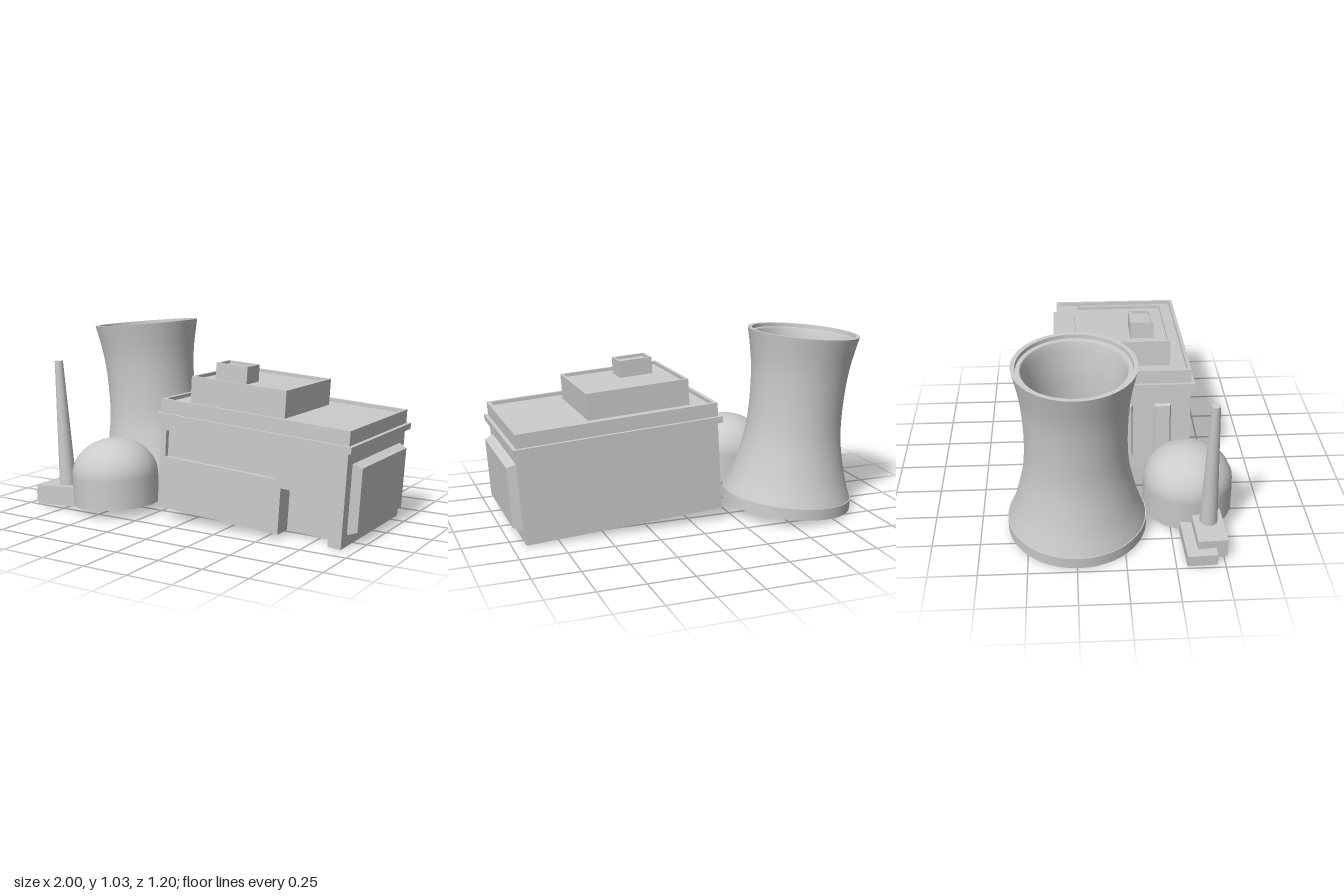
import * as THREE from 'three';

const grey = new THREE.MeshStandardMaterial({ color: 0xcccccc, side: THREE.DoubleSide });
const flat = new THREE.MeshStandardMaterial({ color: 0xcccccc, side: THREE.DoubleSide, flatShading: true });

function add(parent, name, geometry, material = flat) {
  const mesh = new THREE.Mesh(geometry, material);
  mesh.name = name;
  parent.add(mesh);
  return mesh;
}

function group(parent, name, x, y, z, tilt) {
  const g = new THREE.Group();
  g.name = name;
  g.position.set(x, y, z);
  g.rotation.z = tilt;
  parent.add(g);
  return g;
}

// Box given by its limits; open lists the faces left out (0..5 = +x -x +y -y +z -z)
function box(x0, x1, y0, y1, z0, z1, open = []) {
  const g = new THREE.BoxGeometry(x1 - x0, y1 - y0, z1 - z0);
  g.translate((x0 + x1) / 2, (y0 + y1) / 2, (z0 + z1) / 2);
  g.setIndex(Array.from(g.index.array).filter((_, i) => !open.includes(Math.floor(i / 6))));
  return g;
}

function rect(path, x0, x1, y0, y1) {
  path.moveTo(x0, y0);
  path.lineTo(x1, y0);
  path.lineTo(x1, y1);
  path.lineTo(x0, y1);
  path.closePath();
  return path;
}

// Flat-roofed block whose rim stands above a sunken roof
function roofBlock(parent, name, x0, x1, y0, y1, z0, z1, rim, depth) {
  const shape = rect(new THREE.Shape(), x0, x1, -z1, -z0);
  shape.holes.push(rect(new THREE.Path(), x0 + rim, x1 - rim, -z1 + rim, -z0 - rim));
  const walls = new THREE.ExtrudeGeometry(shape, { depth: y1 - y0, bevelEnabled: false });
  walls.rotateX(-Math.PI / 2).translate(0, y0, 0);
  add(parent, name + 'Walls', walls);
  add(parent, name + 'Roof', box(x0 + rim, x1 - rim, y0, y1 - depth, z0 + rim, z1 - rim));
}

// Raised panel on a side wall, its outer face drawn in by a bevel
function sidePanel(parent, name, side, wallX, out, y0, y1, z0, z1, bevel) {
  const g = new THREE.BoxGeometry(out, y1 - y0, z1 - z0);
  const p = g.attributes.position;
  for (let i = 0; i < p.count; i++) {
    if (p.getX(i) * side > 0) {
      p.setY(i, p.getY(i) - Math.sign(p.getY(i)) * bevel);
      p.setZ(i, p.getZ(i) - Math.sign(p.getZ(i)) * bevel);
    }
  }
  g.translate(side * (wallX + out / 2), (y0 + y1) / 2, (z0 + z1) / 2);
  add(parent, name, g);
}

function buildHall(root) {
  const hall = group(root, 'turbineHall', 0.378, 0.04, 0.033, -0.063);
  const W = 0.549, D = 0.369, H = 0.492;

  // Walls, open underneath, with openings in the front
  add(hall, 'sideAndBackWalls', box(-W, W, 0, H, -D, D, [2, 3, 4]));
  const front = new THREE.Shape();
  [[-W, 0], [0.195, 0], [0.195, 0.246], [0.477, 0.246], [0.477, 0], [W, 0], [W, H], [-W, H]]
    .forEach(([x, y], i) => (i ? front.lineTo(x, y) : front.moveTo(x, y)));
  front.holes.push(rect(new THREE.Path(), -0.513, 0.16, 0.287, 0.432));
  add(hall, 'frontWall', new THREE.ShapeGeometry(front).translate(0, 0, D));
  add(hall, 'windowRecess', box(-0.513, 0.16, 0.287, 0.432, D - 0.025, D, [4]));
  add(hall, 'doorRecess', box(0.195, 0.477, 0, 0.246, D - 0.105, D, [3, 4]));

  // Side panels
  sidePanel(hall, 'rightPanel', 1, W, 0.048, 0.06, 0.425, -0.305, 0.307, 0.018);
  for (const z of [-0.213, 0, 0.213]) {
    sidePanel(hall, 'leftPanel', -1, W, 0.02, 0.085, 0.4, z - 0.048, z + 0.048, 0.008);
  }

  // Ledge and stacked roofs
  add(hall, 'ledge', box(-0.572, 0.572, H, 0.525, -0.39, 0.39));
  roofBlock(hall, 'parapet', -0.552, 0.552, 0.525, 0.6, -0.37, 0.37, 0.02, 0.02);
  roofBlock(hall, 'upperRoom', -0.435, 0.138, 0.57, 0.725, -0.258, 0.264, 0.014, 0.018);
  roofBlock(hall, 'roofVent', -0.338, -0.146, 0.7, 0.801, 0.047, 0.177, 0.014, 0.015);
}

function buildCoolingTower(root) {
  const tower = group(root, 'coolingTower', -0.606, 0.035, -0.242, 0.086);
  const lathe = (name, pts) =>
    add(tower, name, new THREE.LatheGeometry(pts.map(([r, y]) => new THREE.Vector2(r, y)), 48), grey);

  // Waisted shell, outside and inside from one smooth curve
  const curve = new THREE.SplineCurve([[0.36, 0.062], [0.315, 0.19], [0.272, 0.385],
    [0.262, 0.58], [0.274, 0.79], [0.31, 0.98]].map(([r, y]) => new THREE.Vector2(r, y)));
  const outer = curve.getPoints(24).map((p) => [p.x, p.y]);
  lathe('shell', outer);
  lathe('innerShell', outer.map(([r, y]) => [r - 0.045, Math.min(y, 0.96)]).reverse());

  // Stepped rim, foot and floor
  lathe('rimTop', [[0.31, 0.98], [0.287, 0.98]]);
  lathe('rimInside', [[0.287, 0.98], [0.285, 0.96]]);
  lathe('rimStep', [[0.285, 0.96], [0.265, 0.96]]);
  lathe('footBand', [[0.365, 0], [0.365, 0.062]]);
  lathe('footTop', [[0.365, 0.062], [0.28, 0.062]]);
  lathe('floor', [[0.315, 0.062], [0.24, 0.085], [0.13, 0.105], [0, 0.112]]);
}

function buildDome(root) {
  const dome = group(root, 'reactorDome', -0.485, 0.05, 0.353, 0.05);
  add(dome, 'domeWall', new THREE.CylinderGeometry(0.241, 0.241, 0.16, 20, 1, true).translate(0, 0.08, 0), grey);
  const cap = new THREE.SphereGeometry(0.241, 20, 10, 0, Math.PI * 2, 0, Math.PI / 2);
  add(dome, 'domeCap', cap.scale(1, 0.84, 1).translate(0, 0.16, 0), grey);
}

function buildChimney(root) {
  const stack = group(root, 'chimneyBlock', -0.8, 0.02, 0.43, 0.06);
  stack.rotation.y = 0.05;
  add(stack, 'upperBase', box(-0.13, 0.13, 0, 0.108, -0.075, 0.08));
  add(stack, 'lowerBase', box(-0.185, 0.1, 0, 0.062, -0.135, 0.02));
  add(stack, 'chimney', new THREE.CylinderGeometry(0.023, 0.048, 0.72, 12).translate(0.035, 0.456, 0.005), grey);
}

export function createModel() {
  const root = new THREE.Group();
  root.name = 'powerStation';
  buildHall(root);
  buildCoolingTower(root);
  buildDome(root);
  buildChimney(root);
  return root;
}
